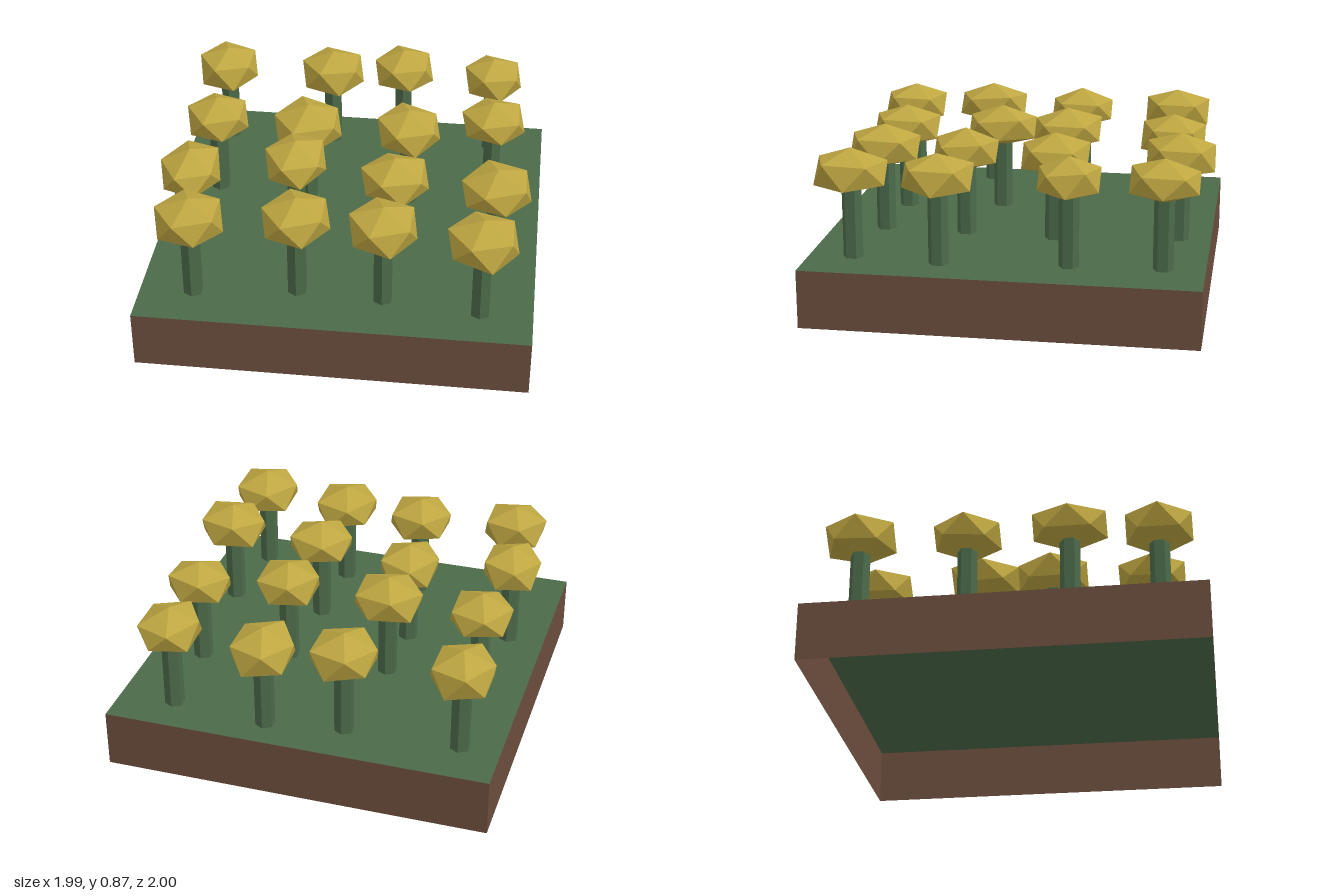
import * as THREE from 'three';

const material = (name, color) => {
  const m = new THREE.MeshStandardMaterial({ color, flatShading: true, side: THREE.DoubleSide });
  m.name = name;
  return m;
};

// Each tree: centre x, centre z, crown width, crown depth
const TREES = [
  [-0.79, -0.74, 0.33, 0.35], [-0.2, -0.76, 0.35, 0.34], [0.195, -0.825, 0.33, 0.35], [0.7, -0.78, 0.32, 0.34],
  [-0.755, -0.2, 0.33, 0.34], [-0.26, -0.18, 0.37, 0.36], [0.28, -0.185, 0.34, 0.35], [0.723, -0.315, 0.34, 0.31],
  [-0.8, 0.32, 0.31, 0.37], [-0.275, 0.18, 0.32, 0.37], [0.25, 0.285, 0.35, 0.33], [0.773, 0.33, 0.36, 0.35],
  [-0.723, 0.76, 0.34, 0.34], [-0.2, 0.695, 0.34, 0.35], [0.237, 0.72, 0.34, 0.36], [0.73, 0.775, 0.35, 0.36],
];

// Seeded variation in the range -1..1
function seeded(seed) {
  let s = seed * 7919 + 17;
  return () => {
    s = (s * 16807) % 2147483647;
    return (s / 2147483647) * 2 - 1;
  };
}

// Squashed twenty-sided crown: apex, upper ring of 5, lower ring of 5, base point
function crownGeometry(width, depth, seed) {
  const vary = seeded(seed);
  const rx = width / 2, rz = depth / 1.902;
  const points = [0, 0.865, 0];
  for (const [y, turn] of [[0.8, 0], [0.69, 0.5]]) {
    for (let i = 0; i < 5; i++) {
      const a = (i + turn) * Math.PI * 0.4;
      const r = 0.99 + 0.02 * vary();
      points.push(-Math.cos(a) * rx * r, y + 0.012 * vary(), Math.sin(a) * rz * r);
    }
  }
  points.push(0, 0.642, 0);
  const index = [];
  for (let i = 0; i < 5; i++) {
    const j = (i + 1) % 5;
    const u = 1 + i, v = 1 + j, l = 6 + i, m = 6 + j;
    index.push(0, u, v, u, l, v, l, m, v, m, l, 11);
  }
  const g = new THREE.BufferGeometry();
  g.setAttribute('position', new THREE.Float32BufferAttribute(points, 3));
  g.setIndex(index);
  const flat = g.toNonIndexed();
  flat.computeVertexNormals();
  return flat;
}

export function createModel() {
  const model = new THREE.Group();
  model.name = 'orchardTile';
  const green = material('green', 0x4b6a49);
  const brown = material('earth brown', 0x6b4d3d);
  const gold = material('leaf gold', 0xbea641);

  const add = (parent, name, geometry, mat, x, y, z) => {
    const mesh = new THREE.Mesh(geometry, mat);
    mesh.name = name;
    mesh.position.set(x, y, z);
    parent.add(mesh);
  };

  // Hollow ground block: grass sheet on four thin earth walls, open below
  const size = 1.99;
  add(model, 'grass', new THREE.PlaneGeometry(size, size).rotateX(-Math.PI / 2), green, 0, 0.3, 0.005);
  const walls = new THREE.CylinderGeometry(size / Math.SQRT2, size / Math.SQRT2, 0.3, 4, 1, true);
  add(model, 'earthWalls', walls.rotateY(Math.PI / 4), brown, 0, 0.15, 0.005);

  // Trees: six-sided trunk and faceted crown
  const trunk = new THREE.CylinderGeometry(0.051, 0.051, 0.36, 6, 1, true);
  TREES.forEach(([x, z, width, depth], i) => {
    const tree = new THREE.Group();
    tree.name = 'tree' + (i + 1);
    tree.position.set(x, 0, z);
    add(tree, 'trunk', trunk, green, 0, 0.48, 0);
    add(tree, 'crown', crownGeometry(width, depth, i + 1), gold, 0, 0, 0);
    model.add(tree);
  });
  return model;
}
